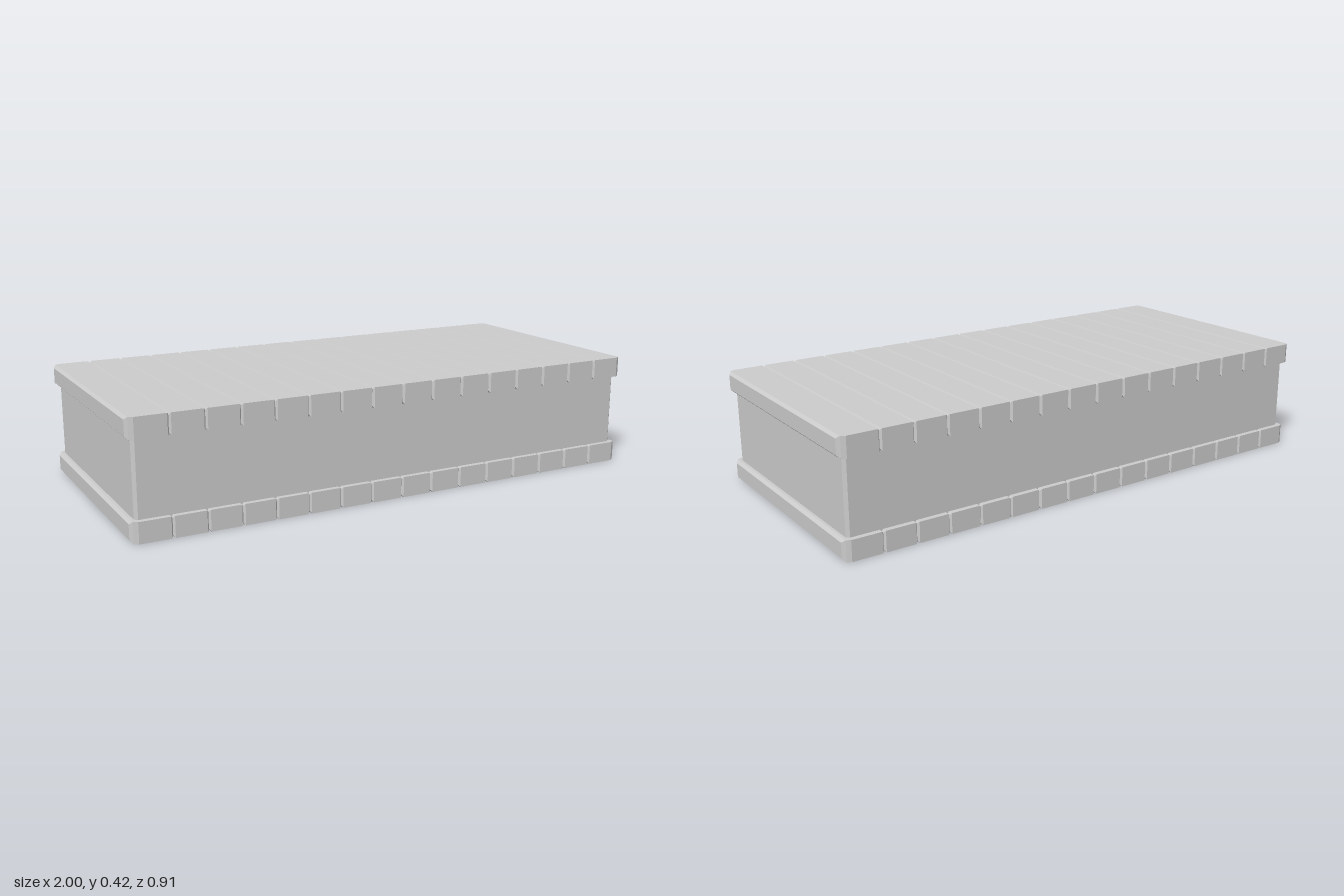
import * as THREE from 'three';

const material = new THREE.MeshStandardMaterial({ color: 0xcccccc, flatShading: true });

// Lofts rectangles along x; each section is [x, halfHeight, halfDepth].
function loftAlongX(sections) {
  const positions = [];
  const index = [];
  for (const [x, h, d] of sections) {
    positions.push(x, -h, d, x, -h, -d, x, h, -d, x, h, d);
  }
  for (let s = 0; s < sections.length - 1; s++) {
    for (let k = 0; k < 4; k++) {
      const a = s * 4 + k;
      const b = s * 4 + (k + 1) % 4;
      index.push(a, b, b + 4, a, b + 4, a + 4);
    }
  }
  const e = (sections.length - 1) * 4;
  index.push(0, 2, 1, 0, 3, 2, e, e + 1, e + 2, e, e + 2, e + 3);
  const indexed = new THREE.BufferGeometry();
  indexed.setAttribute('position', new THREE.Float32BufferAttribute(positions, 3));
  indexed.setIndex(index);
  const geometry = indexed.toNonIndexed();
  geometry.computeVertexNormals();
  return geometry;
}

const H = 0.0375; // plank half height
const D = 0.456; // plank half depth

// Bevelled edge beside a groove, and the rounder outer edge of an end plank.
const innerEdge = (x, dir) => [[x, H - 0.008, D - 0.008], [x + dir * 0.006, H, D]];
const outerEdge = (x, dir) => [
  [x, H - 0.01, 0.435], [x + dir * 0.01, H, 0.447], [x + dir * 0.025, H, D],
];

function plankGeometry(x0, x1, outerLeft, outerRight) {
  const start = (outerLeft ? outerEdge : innerEdge)(x0, 1);
  const end = (outerRight ? outerEdge : innerEdge)(x1, -1).reverse();
  return loftAlongX([...start, ...end]);
}

function createPlankLayer(name, y) {
  const layer = new THREE.Group();
  layer.name = name;
  const count = 16;
  const pitch = 0.1227;
  const cuts = [-1];
  for (let i = 1; i < count; i++) cuts.push((i - count / 2) * pitch);
  cuts.push(1);
  for (let i = 0; i < count; i++) {
    const plank = new THREE.Mesh(
      plankGeometry(cuts[i], cuts[i + 1], i === 0, i === count - 1), material);
    plank.name = 'plank';
    layer.add(plank);
  }
  layer.position.y = y;
  return layer;
}

// Plain inner block with chamfered vertical edges.
function createCore() {
  const w = 0.98, d = 0.437, c = 0.011;
  const shape = new THREE.Shape([
    [w, c - d], [w, d - c], [w - c, d], [c - w, d],
    [-w, d - c], [-w, c - d], [c - w, -d], [w - c, -d],
  ].map(([x, y]) => new THREE.Vector2(x, y)));
  const geometry = new THREE.ExtrudeGeometry(shape, { depth: 0.3, bevelEnabled: false });
  geometry.rotateX(-Math.PI / 2);
  geometry.translate(0, 0.06, 0);
  const core = new THREE.Mesh(geometry, material);
  core.name = 'core';
  return core;
}

export function createModel() {
  const model = new THREE.Group();
  model.name = 'plankedBlock';
  model.add(
    createPlankLayer('bottomPlanks', H + 0.002),
    createCore(),
    createPlankLayer('topPlanks', 0.382),
  );
  return model;
}
